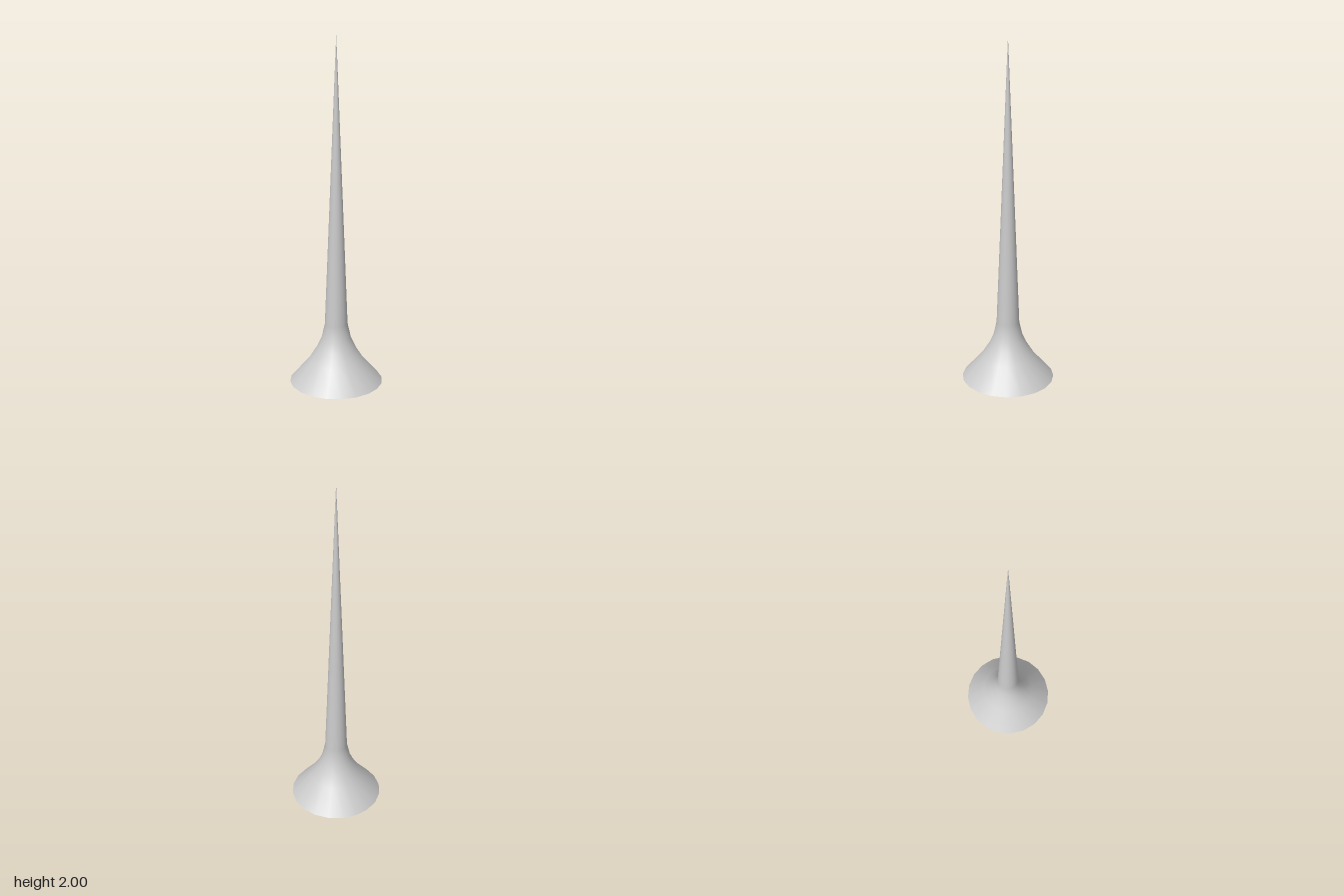
import * as THREE from 'three';

const SIDES = 20;

export function createModel() {
  const group = new THREE.Group();
  const material = new THREE.MeshStandardMaterial({ color: 0xcccccc });

  // Flared foot running smoothly into a long tapering needle
  const profile = [
    [0.273, 0], [0.16, 0.13], [0.116, 0.2], [0.086, 0.265], [0.067, 0.35],
    [0.004, 1.91], [0, 2],
  ].map(([r, y]) => new THREE.Vector2(r, y));
  const spike = new THREE.Mesh(new THREE.LatheGeometry(profile, SIDES), material);
  spike.name = 'spike';
  group.add(spike);

  // Flat underside closing the foot
  const base = new THREE.Mesh(new THREE.CircleGeometry(0.273, SIDES), material);
  base.rotation.x = Math.PI / 2;
  base.name = 'base';
  group.add(base);

  return group;
}
